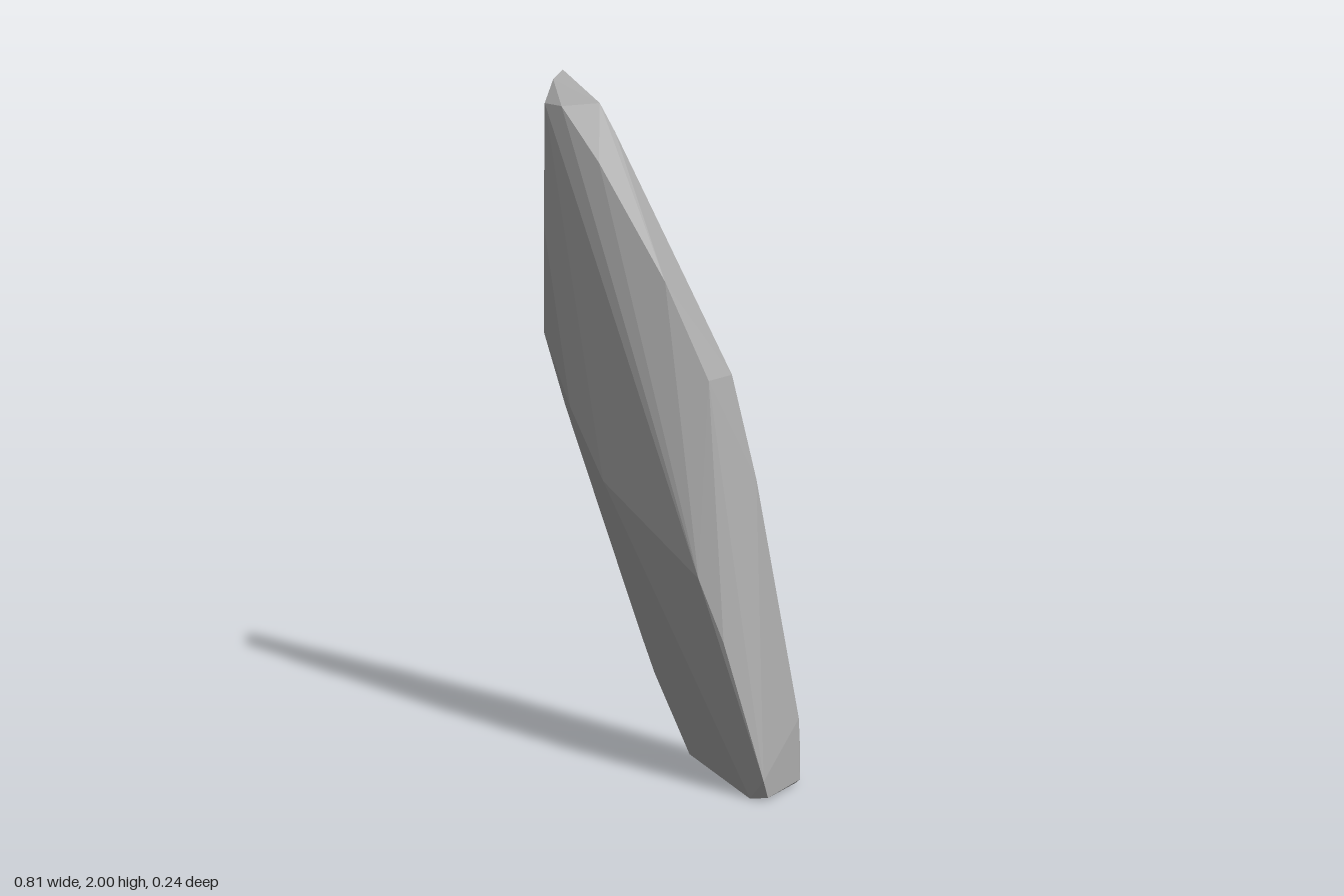
import * as THREE from 'three';
import { ConvexGeometry } from 'three/addons/geometries/ConvexGeometry.js';

export function createModel() {
  const group = new THREE.Group();
  group.name = 'rockShard';

  const stone = new THREE.MeshStandardMaterial({ color: 0xa6a6a6 });
  stone.name = 'grey stone';

  // Flat back outline
  const back = [
    [-0.41, 2.0], [-0.41, 1.01], [-0.15, 0.35], [-0.1, 0.23], [0.02, 0],
    [0.23, 0], [0.22, 0.5], [0.13, 1.12], [-0.08, 1.53],
  ].map(([x, y]) => [x, y, -0.12]);

  // Chamfered rim down the right edge
  const rim = [
    [-0.27, 1.9, -0.1], [-0.22, 1.82, -0.1], [0, 1.43, -0.1], [0.165, 1.14, -0.1],
    [0.25, 0.85, -0.09], [0.39, 0.18, -0.09], [0.395, 0.09, -0.09], [0.405, 0.01, -0.07],
  ];

  // Straight left edge
  const leftEdge = [
    [-0.41, 1.97, -0.07], [-0.41, 1.9, -0.025], [-0.41, 1.55, -0.015], [-0.41, 1.24, -0.01],
  ];

  // Front ridge and belly
  const front = [
    [-0.35, 1.89, -0.022], [-0.22, 1.73, -0.015], [0, 1.4, -0.01], [0.14, 1.13, -0.01],
    [-0.3, 1.03, 0.02], [-0.17, 0.83, 0.05],
    [0.18, 0.6, 0.117], [0.26, 0.43, 0.118], [0.387, 0.06, 0.12],
  ];

  // Front corners of the foot
  const foot = [[0.34, 0, 0.11], [0.393, 0.01, 0.105], [0.395, 0, -0.065]];

  const points = [...back, ...rim, ...leftEdge, ...front, ...foot]
    .map((p) => new THREE.Vector3(...p));
  const shard = new THREE.Mesh(new ConvexGeometry(points), stone);
  shard.name = 'shard';
  group.add(shard);
  return group;
}
